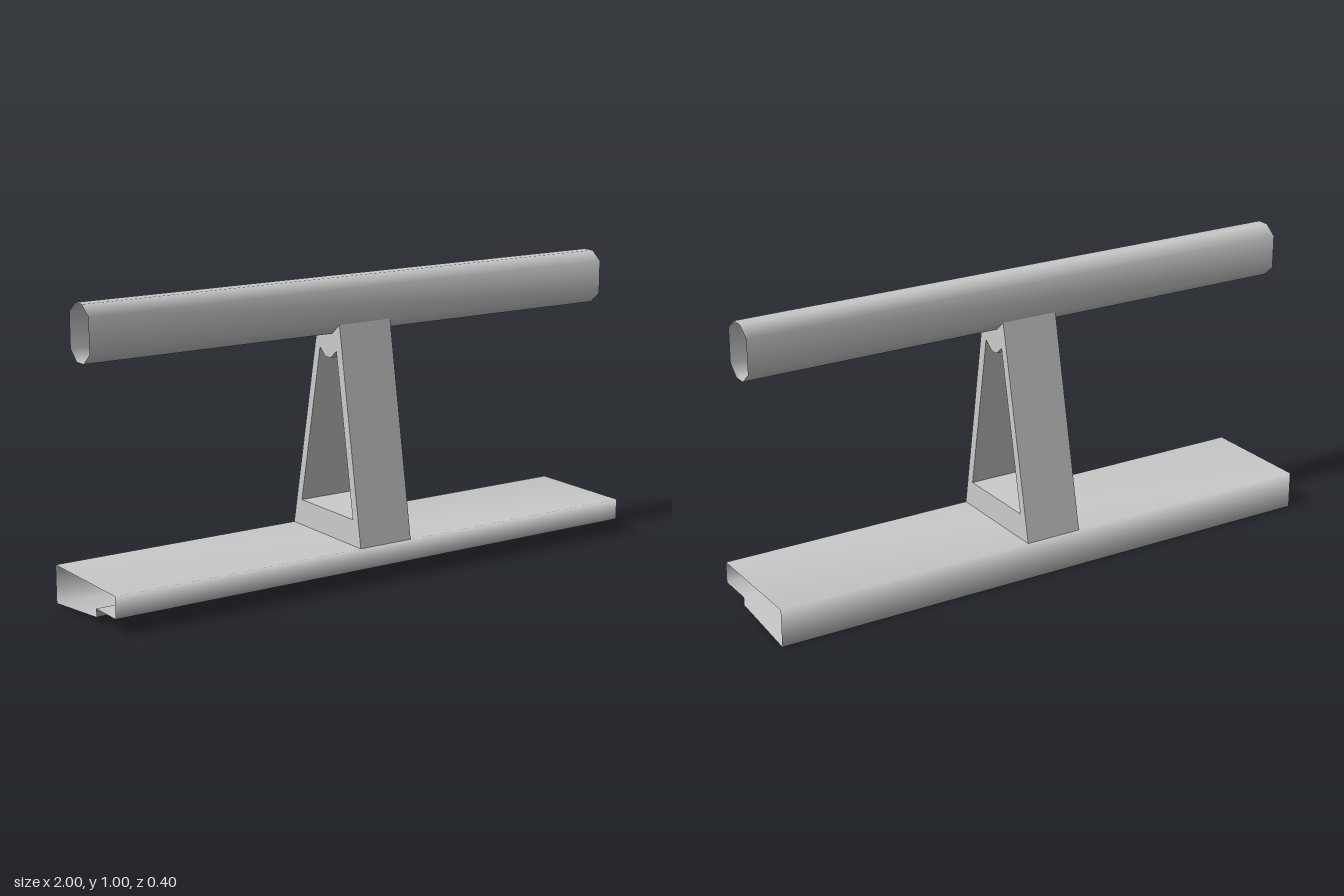
import * as THREE from 'three';

const material = new THREE.MeshStandardMaterial({ color: 0xcccccc, side: THREE.DoubleSide });

function addPart(group, name, geometry) {
  const mesh = new THREE.Mesh(geometry, material);
  mesh.name = name;
  group.add(mesh);
}

// Open-ended smooth bar along x; the profile is a list of [z, y], counterclockwise
function openBar(profile, halfLength) {
  const n = profile.length;
  const positions = [];
  const index = [];
  for (const x of [-halfLength, halfLength]) {
    for (const [z, y] of profile) positions.push(x, y, z);
  }
  for (let i = 0; i < n; i++) {
    const j = (i + 1) % n;
    index.push(i, i + n, j, j, i + n, j + n);
  }
  const geometry = new THREE.BufferGeometry();
  geometry.setAttribute('position', new THREE.Float32BufferAttribute(positions, 3));
  geometry.setIndex(index);
  geometry.computeVertexNormals();
  return geometry;
}

const toPoints = (list) => list.map(([z, y]) => new THREE.Vector2(z, y));

// Tapered frame with an open middle, extruded across the width
function frame(outer, inner, width) {
  const shape = new THREE.Shape(toPoints(outer));
  shape.holes.push(new THREE.Path(toPoints(inner)));
  const geometry = new THREE.ExtrudeGeometry(shape, { depth: width, bevelEnabled: false });
  geometry.translate(0, 0, -width / 2);
  geometry.rotateY(-Math.PI / 2);
  return geometry;
}

export function createModel() {
  const group = new THREE.Group();
  group.name = 'railStand';

  // Eight-sided top rail
  addPart(group, 'topRail', openBar([
    [-0.007, 0.817], [0.036, 0.817], [0.077, 0.852], [0.077, 0.967],
    [0.036, 1], [-0.007, 1], [-0.048, 0.967], [-0.048, 0.852],
  ], 1));

  // Base beam with a stepped underside
  addPart(group, 'base', openBar([
    [-0.2, 0.002], [0.073, 0.03], [0.073, 0.058], [0.2, 0.058],
    [0.2, 0.13], [-0.2, 0.13],
  ], 1));

  // A-shaped support, notched to cradle the rail
  addPart(group, 'support', frame(
    [[-0.2, 0.13], [0.2, 0.13], [0.077, 0.852], [0.036, 0.817], [-0.007, 0.817], [-0.048, 0.852]],
    [[-0.151, 0.218], [0.154, 0.218], [0.059, 0.762], [0.025, 0.735], [-0.005, 0.735], [-0.037, 0.762]],
    0.2,
  ));

  return group;
}
